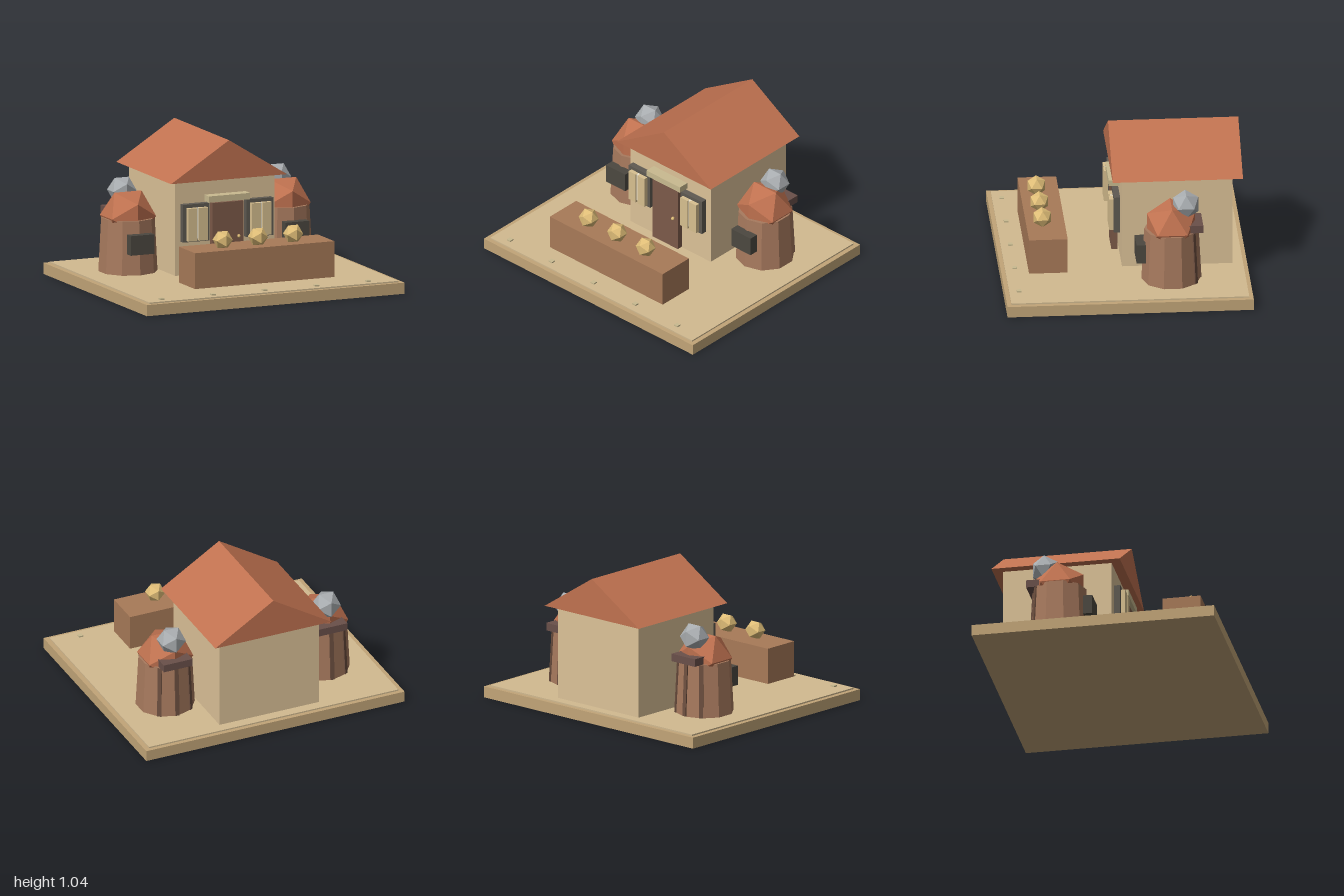
import * as THREE from 'three';

const mat = (color) => new THREE.MeshStandardMaterial({ color, flatShading: true });
const M = {
  base: mat(0xc2a578), floor: mat(0xd2ba90), wall: mat(0xdcc298), roof: mat(0xc07250),
  brick: mat(0xa87a5e), wood: mat(0xa87a58), dark: mat(0x4c4840), door: mat(0x7d5a49),
  ledge: mat(0x6a504a), frame: mat(0x5f5a52), pane: mat(0xd8c090), glint: mat(0xeee4cc),
  lintel: mat(0xcabb90), gold: mat(0xe0be78), stone: mat(0xa9adb0), plank: mat(0x6e5040),
};

function add(parent, name, geometry, material, x = 0, y = 0, z = 0) {
  const mesh = new THREE.Mesh(geometry, material);
  mesh.name = name;
  mesh.position.set(x, y, z);
  parent.add(mesh);
  return mesh;
}

// Box given by its limits on each axis
function box(parent, name, material, x0, x1, y0, y1, z0, z1) {
  return add(parent, name, new THREE.BoxGeometry(x1 - x0, y1 - y0, z1 - z0), material,
    (x0 + x1) / 2, (y0 + y1) / 2, (z0 + z1) / 2);
}

function group(parent, name, x = 0, y = 0, z = 0) {
  const g = new THREE.Group();
  g.name = name;
  g.position.set(x, y, z);
  parent.add(g);
  return g;
}

function buildWindow(parent, x) {
  const w = group(parent, 'window', x, 0, 0);
  box(w, 'windowFrame', M.frame, -0.103, 0.103, 0.335, 0.605, 0.025, 0.07);
  for (const s of [-1, 1]) {
    const c = s * 0.042;
    box(w, 'windowPane', M.pane, c - 0.034, c + 0.034, 0.345, 0.58, 0.07, 0.1);
  }
  box(w, 'windowMullion', M.glint, -0.008, 0.008, 0.36, 0.58, 0.07, 0.09);
}

function buildTower(parent, x) {
  const t = group(parent, 'tower', x, 0, -0.315);
  add(t, 'towerBody', new THREE.CylinderGeometry(0.19, 0.21, 0.385, 10), M.brick, 0, 0.2825, 0);
  add(t, 'towerDome', new THREE.IcosahedronGeometry(0.2), M.roof, 0, 0.485, 0);
  add(t, 'towerBoulder', new THREE.IcosahedronGeometry(0.105), M.stone, 0, 0.65, -0.103);
  box(t, 'towerHatch', M.dark, -0.092, 0.092, 0.245, 0.385, 0.185, 0.25);
  box(t, 'towerLedge', M.ledge, -0.111, 0.111, 0.475, 0.53, -0.22, -0.115);
  // Slim boards leaning against the back
  for (const a of [144, 180, 216]) {
    const board = group(t, 'backBoard');
    board.rotation.y = THREE.MathUtils.degToRad(a);
    const plank = add(board, 'plank', new THREE.BoxGeometry(0.03, 0.38, 0.012), M.plank, 0, 0.282, 0.198);
    plank.rotation.x = -0.052;
  }
}

export function createModel() {
  const model = new THREE.Group();
  model.name = 'courtyard';

  // Ground slab
  box(model, 'baseSlab', M.base, -1, 1, 0, 0.08, -0.87, 0.87);
  box(model, 'courtyardFloor', M.floor, -0.965, 0.965, 0.08, 0.09, -0.84, 0.84);
  for (let i = 0; i < 5; i++) {
    const x = -0.84 + i * 0.4;
    box(model, 'floorStud', M.lintel, x - 0.016, x + 0.016, 0.09, 0.1, 0.755, 0.787);
  }

  // House with gabled roof
  const house = group(model, 'house');
  box(house, 'houseWalls', M.wall, -0.385, 0.385, 0.09, 0.77, -0.765, 0.015);
  const gable = new THREE.Shape([
    new THREE.Vector2(-0.45, 0.765), new THREE.Vector2(0.45, 0.765), new THREE.Vector2(0, 1.045),
  ]);
  add(house, 'roof', new THREE.ExtrudeGeometry(gable, { depth: 0.92, bevelEnabled: false }), M.roof, 0, 0, -0.835);

  // Door, lintel and windows
  box(house, 'door', M.door, -0.12, 0.12, 0.105, 0.6, 0.025, 0.07);
  box(house, 'doorLintel', M.lintel, -0.16, 0.16, 0.61, 0.655, 0.015, 0.092);
  add(house, 'doorKnob', new THREE.SphereGeometry(0.013, 8, 6), M.gold, 0.08, 0.35, 0.078);
  for (const s of [-1, 1]) buildWindow(house, s * 0.247);

  // Towers on both sides
  for (const s of [-1, 1]) buildTower(model, s * 0.6);

  // Counter with three faceted nuggets
  const counter = group(model, 'counter');
  box(counter, 'counterBlock', M.wood, -0.54, 0.54, 0.125, 0.382, 0.41, 0.683);
  for (const x of [-0.273, 0, 0.273]) {
    add(counter, 'nugget', new THREE.IcosahedronGeometry(0.072), M.gold, x, 0.438, 0.57);
  }

  return model;
}
